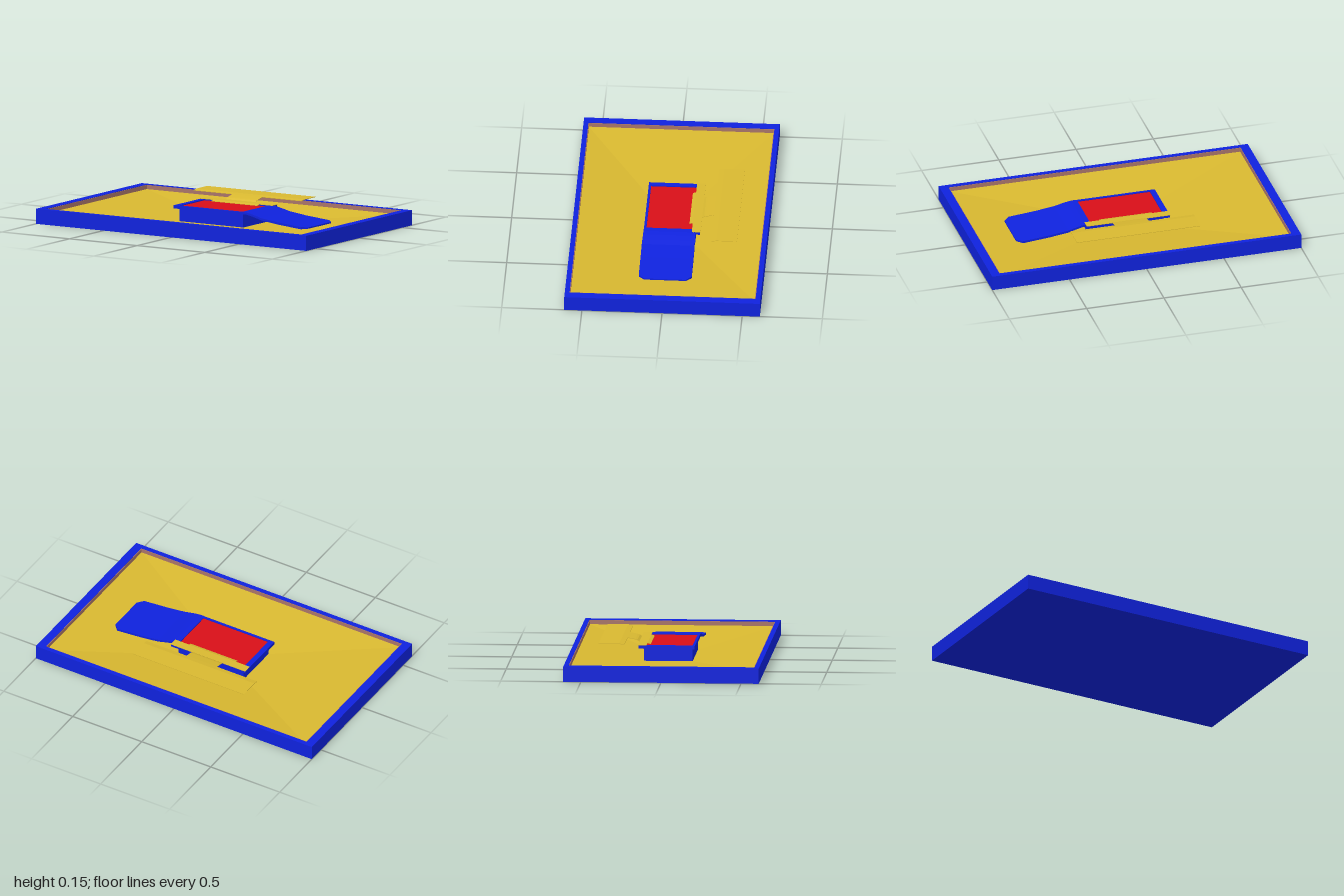
import * as THREE from 'three';

const mat = (color, extra = {}) => new THREE.MeshStandardMaterial({ color, flatShading: true, ...extra });
const blue = mat(0x0f22dd);
const yellow = mat(0xd8b830);
const red = mat(0xd80f18);
const liner = mat(0xa87468);

// Piecewise linear lookup in a list of [key, value] pairs with rising keys
function lookup(pairs, k) {
  if (k <= pairs[0][0]) return pairs[0][1];
  for (let i = 1; i < pairs.length; i++) {
    const [a, va] = pairs[i - 1], [b, vb] = pairs[i];
    if (k <= b) return va + (vb - va) * (k - a) / (b - a);
  }
  return pairs[pairs.length - 1][1];
}

export function createModel() {
  const model = new THREE.Group();

  function add(name, geometry, material) {
    const mesh = new THREE.Mesh(geometry, material);
    mesh.name = name;
    model.add(mesh);
    return mesh;
  }

  // Box given by its limits on each axis
  function block(name, [x0, x1], [y0, y1], [z0, z1], material) {
    const g = new THREE.BoxGeometry(x1 - x0, y1 - y0, z1 - z0);
    g.translate((x0 + x1) / 2, (y0 + y1) / 2, (z0 + z1) / 2);
    return add(name, g, material);
  }

  // Rectangular ring: outer and inner limits [x0, x1, z0, z1], from y0 to y1
  function frame(name, outer, inner, y0, y1, material) {
    const corners = ([x0, x1, z0, z1]) =>
      [[x0, -z1], [x1, -z1], [x1, -z0], [x0, -z0]].map(p => new THREE.Vector2(...p));
    const shape = new THREE.Shape(corners(outer));
    shape.holes.push(new THREE.Path(corners(inner).reverse()));
    const g = new THREE.ExtrudeGeometry(shape, { depth: y1 - y0, bevelEnabled: false });
    g.rotateX(-Math.PI / 2).translate(0, y0, 0);
    return add(name, g, material);
  }

  // Tray with closed bottom
  const X = 0.945, Z = 0.58, edgeY = 0.067;
  frame('trayRim', [-1, 1, -0.61, 0.61], [-X, X, -Z, Z], 0, 0.095, blue);
  block('trayBottom', [-X, X], [0, 0.002], [-Z, Z], blue);
  frame('trayLining', [-X, X, -Z, Z], [-X + 0.004, X - 0.004, -Z + 0.004, Z - 0.004], 0.05, 0.093, liner);

  // Floor: four facets dipping to the middle
  const ring = [[-X, edgeY, Z], [X, edgeY, Z], [X, edgeY, -Z], [-X, edgeY, -Z]];
  const tris = ring.flatMap((p, i) => [p, ring[(i + 1) % 4], [0, 0.005, 0]]).flat();
  const floor = new THREE.BufferGeometry();
  floor.setAttribute('position', new THREE.Float32BufferAttribute(tris, 3));
  floor.computeVertexNormals();
  add('trayFloor', floor, yellow);

  // Central basin with projecting lip and back ledge
  block('basinBody', [-0.235, 0.235], [0.004, 0.112], [-0.16, 0.145], blue);
  frame('basinLip', [-0.27, 0.245, -0.16, 0.16], [-0.235, 0.235, -0.145, 0.145], 0.1, 0.12, blue);
  block('basinFloor', [-0.235, 0.235], [0.11, 0.114], [-0.145, 0.145], red);
  block('backLedge', [-0.27, 0.27], [0.104, 0.122], [-0.19, -0.145], blue);

  // Ramp running down to the left, with clipped corners at its end
  const rampTop = [[0.235, 0.121], [0.27, 0.12], [0.31, 0.113], [0.38, 0.095], [0.5, 0.079], [0.71, 0.06]];
  const rampHalf = [[0.235, 0.16], [0.3, 0.162], [0.38, 0.165], [0.675, 0.165], [0.71, 0.13]];
  const stations = [0.235, 0.27, 0.3, 0.34, 0.38, 0.5, 0.6, 0.675, 0.71];
  const ramp = new THREE.BoxGeometry(1, 1, 1, stations.length - 1, 1, 1);
  const rp = ramp.attributes.position;
  for (let i = 0; i < rp.count; i++) {
    const x = stations[Math.round((rp.getX(i) + 0.5) * (stations.length - 1))];
    const y = lookup(rampTop, x) - (rp.getY(i) < 0 ? 0.014 : 0);
    rp.setXYZ(i, x, y, Math.sign(rp.getZ(i)) * lookup(rampHalf, x));
  }
  ramp.computeVertexNormals();
  add('ramp', ramp, blue);

  // Thin curved sheet at the back, in strips of differing width
  const sheetY = [[-0.43, 0.151], [-0.3, 0.151], [-0.27, 0.146], [-0.235, 0.139], [-0.21, 0.134],
    [-0.195, 0.123], [-0.14, 0.123], [-0.12, 0.117]];
  function sheet(name, half, z0, z1, segments) {
    const g = new THREE.BoxGeometry(half * 2, 0.003, z1 - z0, 1, 1, segments);
    g.translate(0, 0, (z0 + z1) / 2);
    const p = g.attributes.position;
    for (let i = 0; i < p.count; i++) p.setY(i, p.getY(i) + lookup(sheetY, p.getZ(i)));
    g.computeVertexNormals();
    add(name, g, yellow);
  }
  sheet('sheetBar', 0.4, -0.43, -0.27, 5);
  sheet('sheetNeck', 0.11, -0.27, -0.195, 6);
  sheet('sheetBase', 0.27, -0.195, -0.14, 2);
  sheet('sheetLip', 0.17, -0.14, -0.12, 2);

  return model;
}
